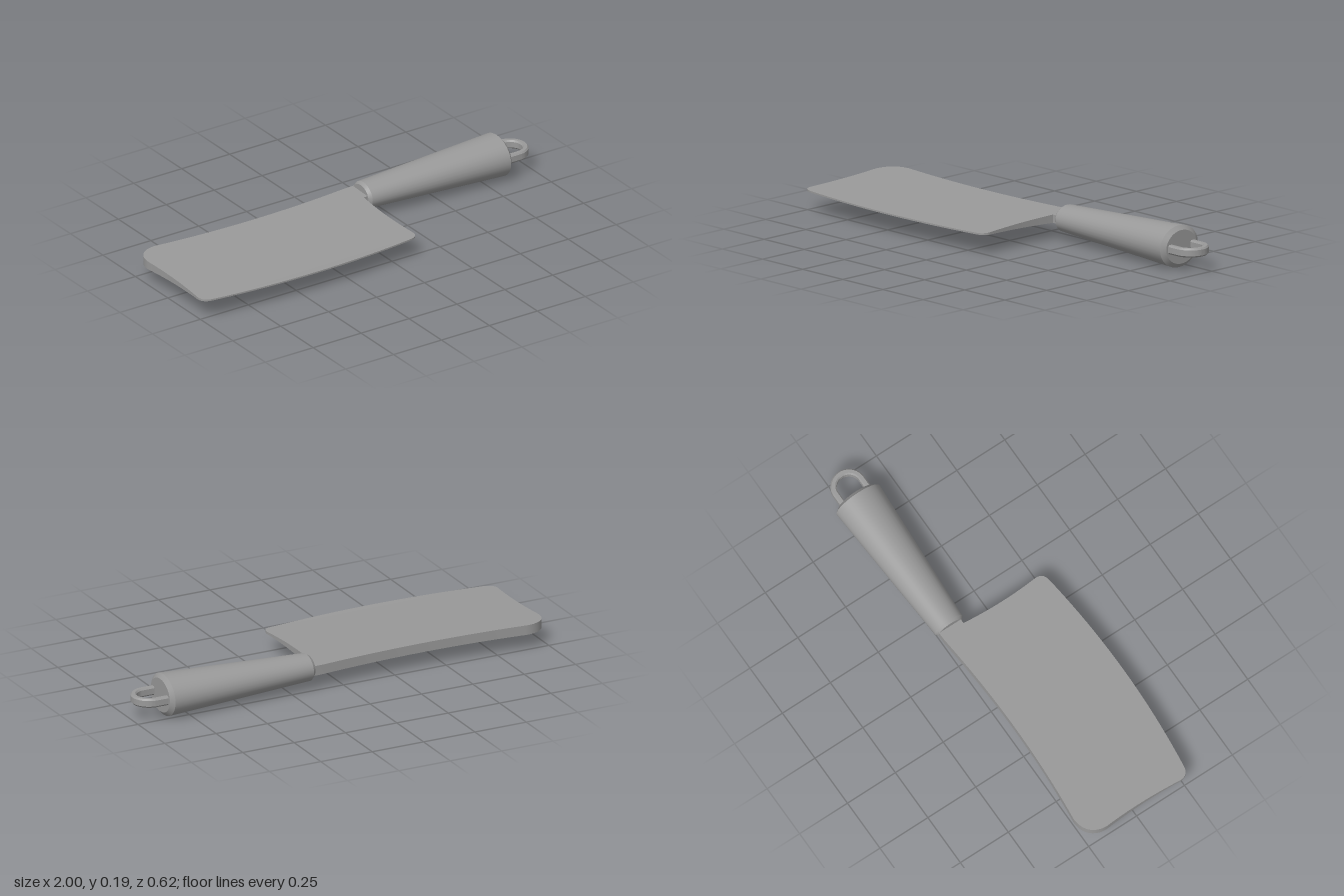
import * as THREE from 'three';
import { toCreasedNormals } from 'three/addons/utils/BufferGeometryUtils.js';

const MID_Y = 0.094;     // height of the flat mid plane
const HANDLE_Z = -0.198; // handle axis

export function createModel() {
  const group = new THREE.Group();
  const material = new THREE.MeshStandardMaterial({ color: 0x999999 });

  const add = (name, geometry, z = 0) => {
    const mesh = new THREE.Mesh(toCreasedNormals(geometry, 0.35), material);
    mesh.name = name;
    mesh.position.set(0, MID_Y, z);
    group.add(mesh);
  };

  // Blade: outline in x/z, thick at the spine and thin at the cutting edge
  const outline = new THREE.Shape();
  outline.moveTo(0.16, -0.258);
  outline.lineTo(0.16, -0.145);
  outline.lineTo(0.12, -0.143);
  outline.quadraticCurveTo(0.102, 0.04, 0.12, 0.225);
  outline.quadraticCurveTo(0.126, 0.272, 0.08, 0.278);
  outline.quadraticCurveTo(-0.44, 0.345, -0.955, 0.278);
  outline.quadraticCurveTo(-1.003, 0.27, -1, 0.225);
  outline.quadraticCurveTo(-0.984, 0.03, -1, -0.155);
  outline.bezierCurveTo(-1, -0.215, -0.955, -0.268, -0.87, -0.254);
  outline.quadraticCurveTo(-0.4, -0.205, 0.1, -0.256);
  const blade = new THREE.ExtrudeGeometry(outline, { depth: 2, bevelEnabled: false, curveSegments: 16 });
  blade.translate(0, 0, -1).rotateX(Math.PI / 2);
  const p = blade.attributes.position;
  for (let i = 0; i < p.count; i++) {
    const halfThickness = 0.0035 + 0.0345 * Math.max(0, 0.285 - p.getZ(i));
    p.setY(i, p.getY(i) * halfThickness);
  }
  blade.computeVertexNormals();
  add('blade', blade);

  // Handle: tapered turned grip with chamfered ends, squashed to an oval
  const profile = [[0, 0.14], [0.05, 0.14], [0.06, 0.154], [0.0935, 0.849], [0.075, 0.865], [0, 0.865]]
    .map(([r, x]) => new THREE.Vector2(r, x));
  const handle = new THREE.LatheGeometry(profile, 32);
  handle.rotateZ(-Math.PI / 2).scale(1, 1, 1.21);
  add('handle', handle, HANDLE_Z);

  // Hanging loop: chamfered U-shaped bar set into the butt of the handle
  const outer = 0.08, inner = 0.053, start = 0.85, centre = 0.92;
  const u = new THREE.Shape();
  u.moveTo(start, -outer);
  u.lineTo(centre, -outer);
  u.absarc(centre, 0, outer, -Math.PI / 2, Math.PI / 2, false);
  u.lineTo(start, outer);
  u.lineTo(start, inner);
  u.lineTo(centre, inner);
  u.absarc(centre, 0, inner, Math.PI / 2, -Math.PI / 2, true);
  u.lineTo(start, -inner);
  const loop = new THREE.ExtrudeGeometry(u, {
    depth: 0.026, curveSegments: 20,
    bevelThickness: 0.007, bevelSize: 0.006, bevelOffset: -0.006, bevelSegments: 1,
  });
  loop.translate(0, 0, -0.013).rotateX(Math.PI / 2);
  add('hangingLoop', loop, HANDLE_Z);

  return group;
}
